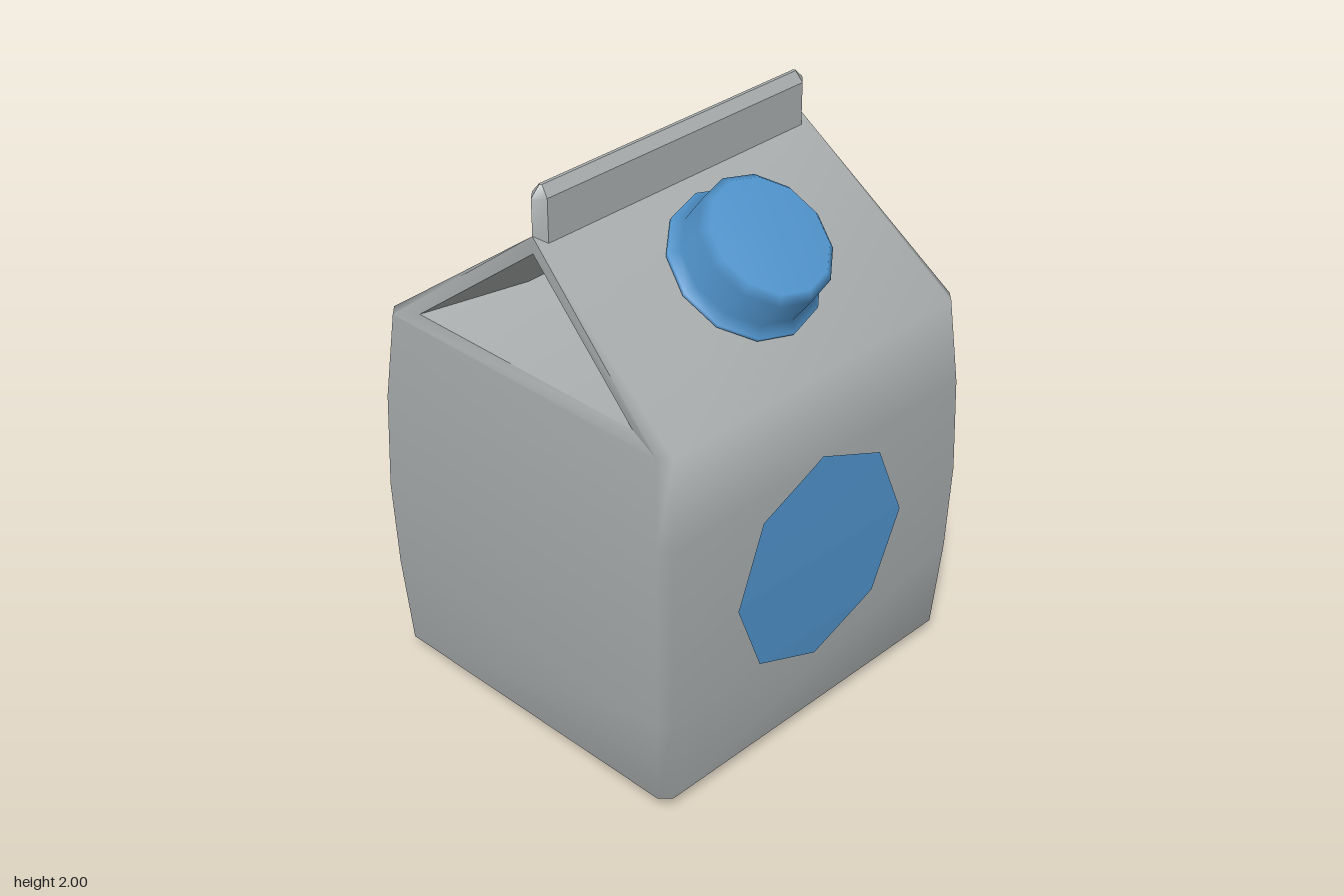
import * as THREE from 'three';
import { toCreasedNormals } from 'three/addons/utils/BufferGeometryUtils.js';

function geometryFrom(points, index) {
  const g = new THREE.BufferGeometry();
  g.setAttribute('position', new THREE.Float32BufferAttribute(points.flat(), 3));
  g.setIndex(index);
  g.computeVertexNormals();
  return g;
}

// Skin a stack of equal-sized rings; open(ring, side) leaves a side out.
function loft(rings, { bottom = false, top = false, open = () => false } = {}) {
  const n = rings[0].length, index = [], last = (rings.length - 1) * n;
  for (let r = 0; r < rings.length - 1; r++) {
    for (let i = 0; i < n; i++) {
      if (open(r, i)) continue;
      const a = r * n + i, b = r * n + (i + 1) % n;
      index.push(a, b, b + n, a, b + n, a + n);
    }
  }
  for (let i = 1; i < n - 1; i++) {
    if (bottom) index.push(0, i + 1, i);
    if (top) index.push(last, last + i, last + i + 1);
  }
  return geometryFrom(rings.flat(), index);
}

// Carton outline: height, half width, half depth
const LEVELS = [
  [0, 0.635, 0.585], [0.05, 0.685, 0.635], [0.38, 0.707, 0.656], [0.7, 0.717, 0.665],
  [1.05, 0.707, 0.657], [1.36, 0.68, 0.632],
];
const CHAMFER = 0.036;
const RIDGE = [0.6, 1.84];

function bodyRing([y, hx, hz]) {
  const a = hx - CHAMFER, b = hz - CHAMFER;
  return [[-a, y, hz], [a, y, hz], [hx, y, b], [hx, y, -b],
    [a, y, -hz], [-a, y, -hz], [-hx, y, -b], [-hx, y, b]];
}

// Front depth of the carton at a height
function frontZ(y) {
  const i = LEVELS.findIndex((l, k) => k > 0 && y <= l[0]);
  const [y0, , z0] = LEVELS[i - 1], [y1, , z1] = LEVELS[i];
  return z0 + (z1 - z0) * (y - y0) / (y1 - y0);
}

// Folded-in gable end on the +x side
function gableGeometry() {
  const R = [RIDGE[0], RIDGE[1], 0], U = [0.6, 1.78, 0], P = [0.27, 1.7, 0];
  const B = [0.68, 1.36, 0.632 - CHAMFER], L = [0.662, 1.4, 0.48], K = [0.45, 1.55, 0.19];
  const flip = ([x, y, z]) => [x, y, -z];
  const lip = [R, B, L, U], fold = [U, L, K, P];
  const faces = [
    lip, fold, lip.map(flip).reverse(), fold.map(flip).reverse(),
    [B, flip(B), flip(L), L], [L, flip(L), flip(K), K], [K, flip(K), P],
  ];
  const points = [], index = [];
  for (const f of faces) {
    const s = points.length;
    points.push(...f);
    for (let i = 1; i < f.length - 1; i++) index.push(s, s + i, s + i + 1);
  }
  return toCreasedNormals(geometryFrom(points, index), 0.5);
}

// Octagon that follows the bulge of the front
function labelGeometry(cy, radius) {
  const d = radius * Math.SQRT1_2;
  const corners = [[-radius, 0], [-d, d], [0, radius], [d, d], [radius, 0]];
  const halfWidth = (t) => {
    const i = Math.max(1, corners.findIndex((c) => t <= c[0] + 1e-6));
    const [t0, w0] = corners[i - 1], [t1, w1] = corners[i];
    return w0 + (w1 - w0) * (t - t0) / (t1 - t0);
  };
  const rows = corners.map((c) => c[0]);
  for (const [y] of LEVELS) if (Math.abs(y - cy) < radius) rows.push(y - cy);
  rows.sort((a, b) => a - b);
  const points = [], index = [];
  rows.forEach((t, k) => {
    const w = halfWidth(t), y = cy + t, z = frontZ(y) + 0.004;
    points.push([-w, y, z], [w, y, z]);
    if (k) {
      const a = 2 * k - 2;
      index.push(a, a + 1, a + 3, a, a + 3, a + 2);
    }
  });
  return geometryFrom(points, index);
}

export function createModel() {
  const group = new THREE.Group();
  const card = new THREE.MeshStandardMaterial({ color: 0xa8acac });
  card.name = 'grey card';
  const blue = new THREE.MeshStandardMaterial({ color: 0x4f92ca });
  blue.name = 'blue plastic';
  const add = (name, geometry, material) => {
    const mesh = new THREE.Mesh(geometry, material);
    mesh.name = name;
    group.add(mesh);
    return mesh;
  };

  // Carton with sloping roof, left open at the gable ends
  const rings = LEVELS.map(bodyRing);
  rings.push(rings[0].map(([x]) => [Math.sign(x) * RIDGE[0], RIDGE[1], 0]));
  add('carton', loft(rings, {
    bottom: true,
    open: (r, i) => r === LEVELS.length - 1 && (i === 2 || i === 6),
  }), card);

  // Gable ends
  const gable = gableGeometry();
  add('leftGable', gable, card);
  add('rightGable', gable, card).rotation.y = Math.PI;

  // Sealed fin along the ridge
  const finRing = (y, a, tip, hz) =>
    [[-a, y, hz], [a, y, hz], [tip, y, 0], [a, y, -hz], [-a, y, -hz], [-tip, y, 0]];
  const fin = loft([
    finRing(1.8, 0.565, 0.6, 0.033), finRing(1.965, 0.565, 0.6, 0.033),
    finRing(2, 0.56, 0.565, 0.006),
  ], { bottom: true, top: true });
  add('topFin', toCreasedNormals(fin, 0.6), card);

  // Screw cap standing square on the front slope
  const profile = [[0.27, -0.01], [0.27, 0.005], [0.235, 0.027], [0.236, 0.145], [0.208, 0.173], [0, 0.173]]
    .map(([x, y]) => new THREE.Vector2(x, y));
  const cap = add('cap', new THREE.LatheGeometry(profile, 12), blue);
  cap.position.set(0, 1.63, 0.31);
  cap.rotation.x = Math.atan2(0.632, RIDGE[1] - 1.36) - Math.PI / 2 + 2 * Math.atan2(RIDGE[1] - 1.36, 0.632);

  // Front label
  add('frontLabel', labelGeometry(0.68, 0.393), blue);
  return group;
}
